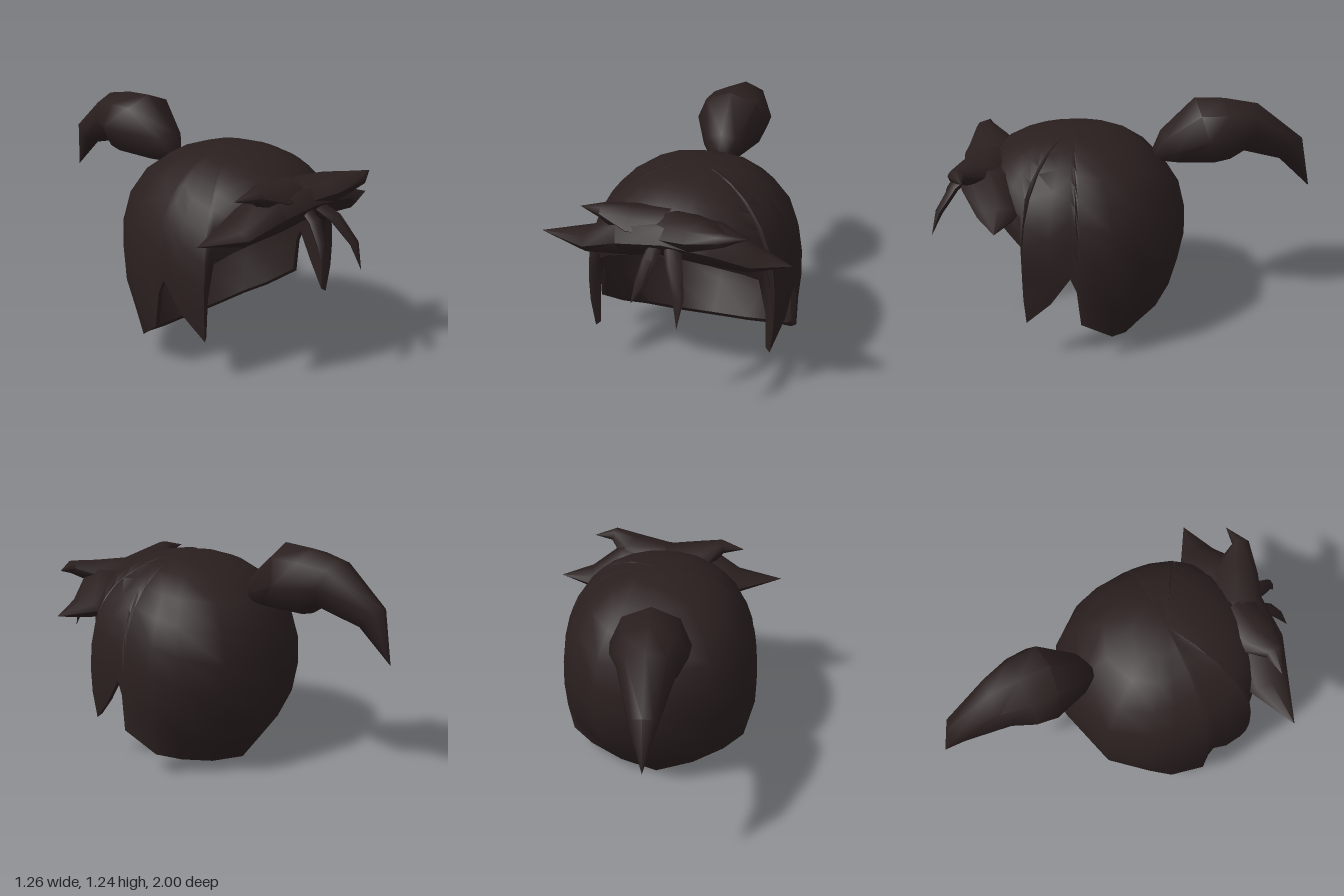
import * as THREE from 'three';
import { toCreasedNormals } from 'three/addons/utils/BufferGeometryUtils.js';

const CX = 0.035; // middle of the head

// Skin between rows of points; every row is a closed loop
function skin(rows, crease = 1.0) {
  const n = rows[0].length, pos = [], idx = [];
  rows.forEach(r => r.forEach(p => pos.push(p.x, p.y, p.z)));
  for (let i = 0; i < rows.length - 1; i++) {
    for (let j = 0; j < n; j++) {
      const k = (j + 1) % n, a = i * n + j, b = i * n + k;
      idx.push(a, b, a + n, b, b + n, a + n);
    }
  }
  const g = new THREE.BufferGeometry();
  g.setAttribute('position', new THREE.Float32BufferAttribute(pos, 3));
  g.setIndex(idx);
  return toCreasedNormals(g, crease);
}

// Tapered lock: stations [x, y, z, half size along ref, half size across]
function lock(stations, ref, sides = 8) {
  const c = stations.map(s => new THREE.Vector3(s[0], s[1], s[2]));
  return skin(stations.map((s, i) => {
    const t = c[Math.min(i + 1, c.length - 1)].clone().sub(c[Math.max(i - 1, 0)]).normalize();
    const u = ref.clone().addScaledVector(t, -ref.dot(t)).normalize();
    const v = t.clone().cross(u);
    return Array.from({ length: sides }, (_, j) => {
      const a = j / sides * Math.PI * 2;
      return c[i].clone().addScaledVector(u, s[3] * Math.cos(a)).addScaledVector(v, s[4] * Math.sin(a));
    });
  }));
}

// Hollow cap: ribs run from the crown to a shaped rim, then back up inside
function capGeometry() {
  const half = [ // rim from front middle to back middle
    [0, 0.80, 0.75], [0.12, 0.79, 0.73], [0.24, 0.74, 0.68], [0.35, 0.68, 0.60], [0.42, 0.62, 0.53],
    [0.46, 0.43, 0.53], [0.465, 0.22, 0.525], [0.51, 0.35, 0.40], [0.53, 0.50, 0.30],
    [0.535, 0.43, 0.27], [0.54, 0.24, 0.25], [0.48, 0.125, 0.09], [0.37, 0.08, 0.01],
    [0.20, 0.03, -0.06], [0, 0, -0.11]
  ];
  const rim = [...half, ...half.slice(1, -1).reverse().map(([x, y, z]) => [-x, y, z])].reverse();
  const C = new THREE.Vector3(0, 0.55, 0.25), R = new THREE.Vector3(0.53, 0.54, 0.585);
  // slightly squared roundness
  const norm = v => (Math.abs(v.x) ** 2.25 + Math.abs(v.y) ** 2.25 + Math.abs(v.z) ** 2.25) ** (1 / 2.25);
  const row = (t, scale) => rim.map(p => {
    const n = new THREE.Vector3(...p).sub(C).divide(R);
    const az = Math.atan2(n.x, n.z), low = Math.asin(n.y / n.length());
    const e = Math.PI / 2 + (low - Math.PI / 2) * t;
    const d = new THREE.Vector3(Math.sin(az) * Math.cos(e), Math.sin(e), Math.cos(az) * Math.cos(e));
    const r = (1 + (norm(n) - 1) * t ** 8) * scale / norm(d);
    return d.multiplyScalar(r).multiply(R).add(C);
  });
  const steps = 9, rows = [];
  for (let i = 0; i <= steps; i++) rows.push(row(i / steps, 1));
  for (let i = steps; i >= 0; i--) rows.push(row(i / steps, 0.95));
  return skin(rows);
}

export function createModel() {
  const model = new THREE.Group();
  model.name = 'hair';
  const hair = new THREE.MeshStandardMaterial({ color: 0x2a1f1f });
  hair.name = 'darkBrownHair';
  hair.side = THREE.DoubleSide;
  const add = (name, geometry) => {
    const m = new THREE.Mesh(geometry, hair);
    m.name = name;
    model.add(m);
    return m;
  };
  const X = new THREE.Vector3(1, 0, 0), Y = new THREE.Vector3(0, 1, 0);

  add('cap', capGeometry()).position.x = CX;

  // Ponytail swelling from the tie and drooping to a point
  add('ponytail', lock([
    [CX, 0.89, -0.17, 0, 0], [CX, 0.93, -0.195, 0.06, 0.05], [CX, 0.975, -0.245, 0.11, 0.10],
    [CX, 1.06, -0.43, 0.20, 0.185], [CX, 1.065, -0.54, 0.19, 0.165], [CX, 1.07, -0.655, 0.145, 0.135],
    [CX, 0.94, -0.89, 0.075, 0.08], [CX, 0.72, -1.0, 0, 0]
  ], X));

  // Fringe sweeping across the brow to a spike on each side
  add('fringe', lock([
    [-0.63, 0.81, 0.67, 0, 0], [-0.38, 0.80, 0.655, 0.055, 0.11], [-0.18, 0.875, 0.685, 0.105, 0.14],
    [0.04, 0.895, 0.68, 0.10, 0.14], [0.26, 0.875, 0.685, 0.10, 0.14], [0.44, 0.80, 0.645, 0.055, 0.10],
    [0.63, 0.795, 0.66, 0, 0]
  ], Y));

  // Upturned locks above the fringe
  add('rightUpperLock', lock([
    [0.02, 0.91, 0.65, 0.09, 0.14], [-0.17, 0.935, 0.68, 0.075, 0.12],
    [-0.29, 0.985, 0.71, 0.035, 0.05], [-0.41, 0.98, 0.69, 0, 0]
  ], Y));
  add('leftUpperLock', lock([
    [0.05, 0.91, 0.67, 0.09, 0.14], [0.22, 0.935, 0.75, 0.07, 0.12],
    [0.34, 0.975, 0.84, 0.035, 0.045], [0.45, 0.98, 0.81, 0, 0]
  ], Y));

  // Thin strands hanging over the forehead
  add('rightStrand', lock([
    [0, 0.88, 0.77, 0.035, 0.02], [-0.01, 0.82, 0.85, 0.038, 0.025],
    [-0.035, 0.73, 0.91, 0.028, 0.02], [-0.07, 0.64, 0.95, 0, 0]
  ], X, 6));
  add('leftStrand', lock([
    [0.08, 0.88, 0.78, 0.04, 0.02], [0.12, 0.82, 0.87, 0.04, 0.025],
    [0.165, 0.70, 0.955, 0.027, 0.02], [0.17, 0.57, 1.0, 0, 0]
  ], X, 6));

  return model;
}
